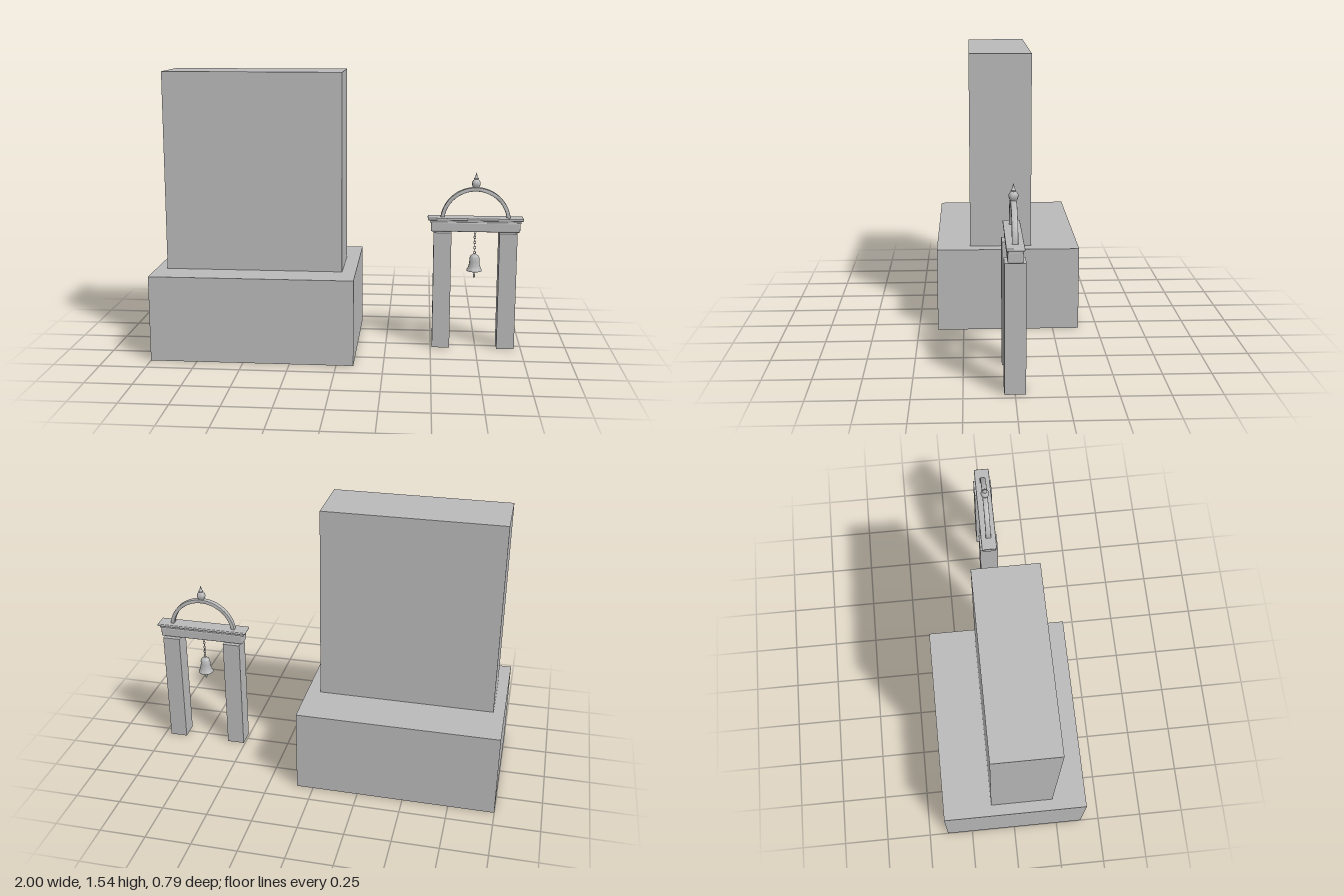
import * as THREE from 'three';
import { RoundedBoxGeometry } from 'three/addons/geometries/RoundedBoxGeometry.js';
import { toCreasedNormals } from 'three/addons/utils/BufferGeometryUtils.js';

export function createModel() {
  const model = new THREE.Group();
  model.name = 'monumentWithBellGate';
  const stone = new THREE.MeshStandardMaterial({ color: 0xb8b8b8 });
  stone.name = 'stone grey';

  const add = (parent, name, geometry, x = 0, y = 0, z = 0) => {
    const mesh = new THREE.Mesh(geometry, stone);
    mesh.name = name;
    mesh.position.set(x, y, z);
    parent.add(mesh);
    return mesh;
  };
  const lathe = (points, segments = 32) => toCreasedNormals(
    new THREE.LatheGeometry(points.map(([r, y]) => new THREE.Vector2(r, y)), segments), 0.7);

  // Large plinth with an upright slab set forward on it
  add(model, 'plinth', new THREE.BoxGeometry(1.092, 0.465, 0.788), -0.454, 0.2325, 0);
  add(model, 'slab', new THREE.BoxGeometry(0.958, 1.07, 0.34), -0.461, 1.0, 0.04);

  // Bell gate
  const gate = new THREE.Group();
  gate.name = 'bellGate';
  gate.position.x = 0.736;
  model.add(gate);
  for (const side of [-1, 1]) {
    add(gate, side > 0 ? 'leftPillar' : 'rightPillar',
      new THREE.BoxGeometry(0.097, 0.656, 0.104), side * 0.179, 0.328, 0);
  }

  // Lintel, its neck and the overhanging cornice
  add(gate, 'lintel', new RoundedBoxGeometry(0.486, 0.055, 0.076, 3, 0.008), 0, 0.6865, 0);
  add(gate, 'lintelNeck', new THREE.BoxGeometry(0.496, 0.014, 0.07), 0, 0.717, 0);
  add(gate, 'cornice', new RoundedBoxGeometry(0.522, 0.014, 0.088, 3, 0.005), 0, 0.729, 0);

  // Arch: a flat half ring, its feet sunk into the lintel
  const ring = new THREE.Shape();
  ring.absarc(0, 0, 0.193, 0, Math.PI, false);
  ring.absarc(0, 0, 0.172, Math.PI, 0, true);
  const archGeometry = new THREE.ExtrudeGeometry(ring, {
    depth: 0.024, curveSegments: 32, bevelSize: 0.003, bevelThickness: 0.003,
    bevelOffset: -0.003, bevelSegments: 2,
  });
  archGeometry.translate(0, 0, -0.012);
  add(gate, 'arch', toCreasedNormals(archGeometry, 0.7), 0, 0.709, 0);

  // Finial: collar, bulb, ring and spire
  add(gate, 'finial', lathe([
    [0, 0.893], [0.013, 0.893], [0.015, 0.902], [0.021, 0.91], [0.024, 0.922],
    [0.023, 0.932], [0.017, 0.942], [0.01, 0.946], [0.013, 0.949], [0.013, 0.953],
    [0.009, 0.956], [0.005, 0.968], [0, 0.987],
  ]));

  // Chain of alternating links
  const chain = new THREE.Group();
  chain.name = 'chain';
  gate.add(chain);
  const linkGeometry = new THREE.TorusGeometry(0.0055, 0.0016, 6, 14);
  linkGeometry.scale(1, 1.5, 1);
  for (let i = 0; i < 9; i++) {
    add(chain, 'link', linkGeometry, 0, 0.652 - i * 0.0145, 0).rotation.y = (i % 2) * Math.PI / 2;
  }

  // Hollow bell: inner wall down, over the lip, then outer wall up
  const profile = [
    [0, 0.533], [0.008, 0.531], [0.012, 0.525], [0.022, 0.519], [0.027, 0.508], [0.028, 0.485],
    [0.031, 0.463], [0.037, 0.447], [0.042, 0.441], [0.042, 0.434], [0.038, 0.434],
    [0.03, 0.45], [0.024, 0.485], [0.022, 0.507], [0, 0.515],
  ].reverse();
  add(gate, 'bell', lathe(profile));

  // Clapper hanging below the lip
  add(gate, 'clapperRod', new THREE.CylinderGeometry(0.003, 0.003, 0.105, 10), 0, 0.4625, 0);
  add(gate, 'clapper', lathe([
    [0, 0.394], [0.004, 0.395], [0.006, 0.402], [0.006, 0.41], [0.003, 0.417], [0, 0.418],
  ], 16));
  return model;
}
